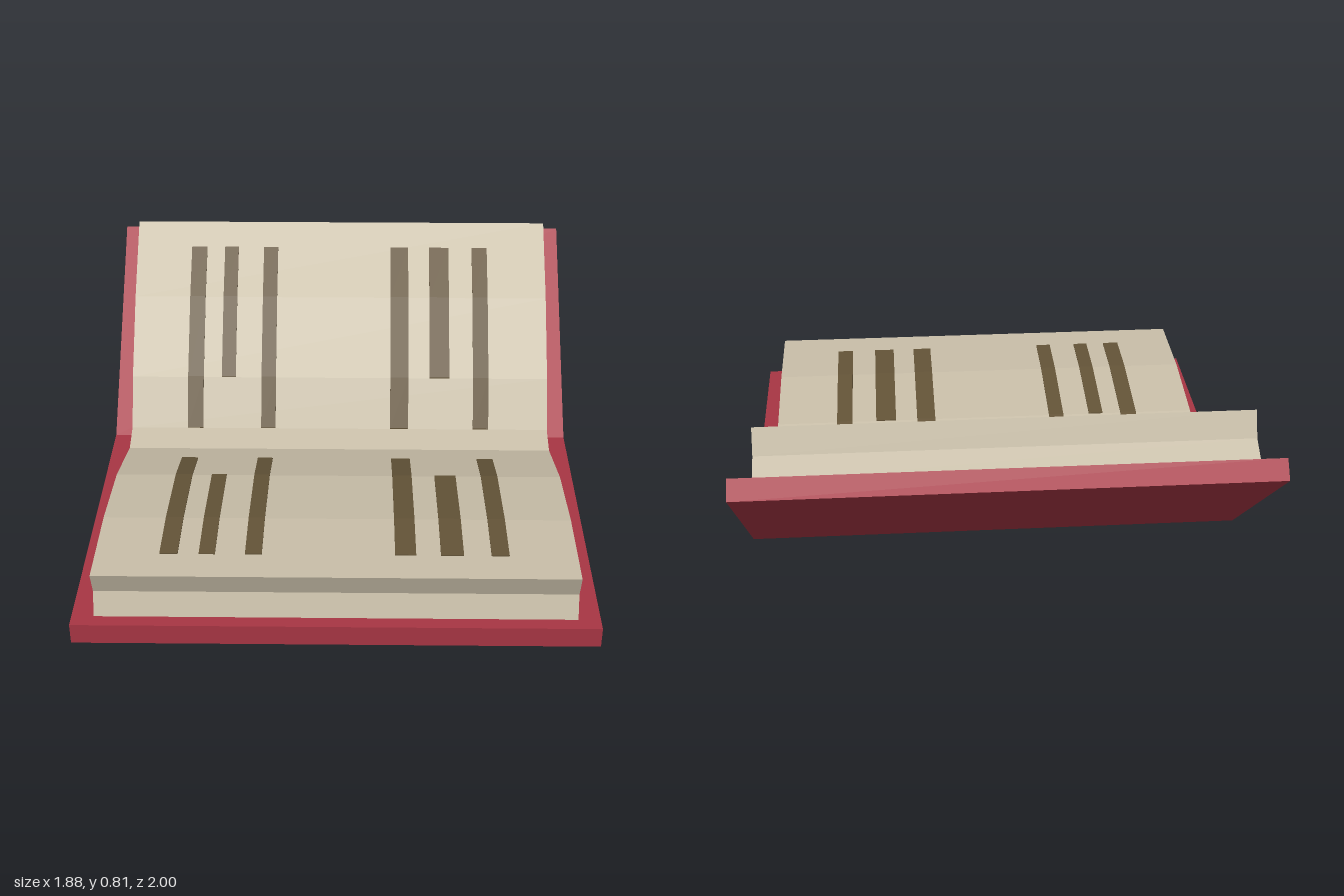
import * as THREE from 'three';

const material = (color) => new THREE.MeshStandardMaterial({ color, flatShading: true });

// Extrude a side profile of [z, y] points across x, between x0 and x1
function profileMesh(name, points, x0, x1, mat) {
  const shape = new THREE.Shape(points.map(([z, y]) => new THREE.Vector2(z, y)));
  const geometry = new THREE.ExtrudeGeometry(shape, { depth: x1 - x0, bevelEnabled: false });
  geometry.rotateY(-Math.PI / 2).translate(x1, 0, 0);
  const mesh = new THREE.Mesh(geometry, mat);
  mesh.name = name;
  return mesh;
}

// Part of a page curve between two z values (curve runs from high z to low z)
function sliceCurve(curve, zStart, zEnd) {
  const heightAt = (z) => {
    for (let i = 0; i < curve.length - 1; i++) {
      const [za, ya] = curve[i], [zb, yb] = curve[i + 1];
      if (z <= za && z >= zb) return ya + (yb - ya) * (za - z) / (za - zb);
    }
    return curve[0][1];
  };
  const inner = curve.filter(([z]) => z < zStart && z > zEnd);
  return [[zStart, heightAt(zStart)], ...inner, [zEnd, heightAt(zEnd)]];
}

export function createModel() {
  const book = new THREE.Group();
  book.name = 'openBook';
  const coverMat = material(0xa83644);
  const pageMat = material(0xc9bfa9);
  const inkMat = material(0x645438);

  // Bent cover: flat front half, raised back half
  const cover = [[1, 0], [1, 0.08], [-0.24, 0.08], [-0.95, 0.71], [-1, 0.65], [-0.29, 0.025], [-0.08, 0]];
  book.add(profileMesh('cover', cover, -0.94, 0.94, coverMat));

  // Page block with notched outer edges and a gutter
  const lowerPage = [[0.95, 0.26], [0.6, 0.26], [0.26, 0.22], [-0.08, 0.12]];
  const upperPage = [[-0.19, 0.15], [-0.3, 0.33], [-0.53, 0.585], [-0.79, 0.81]];
  const pages = [
    [0.95, 0.08], [0.92, 0.17], ...lowerPage, ...upperPage,
    [-0.83, 0.72], [-0.92, 0.67], [-0.24, 0.075],
  ];
  book.add(profileMesh('pages', pages, -0.86, 0.86, pageMat));

  // Ink stripes that follow the page curves: [x0, x1, short]
  const stripes = [
    [-0.63, -0.565, false], [-0.49, -0.432, true], [-0.325, -0.265, false],
    [0.21, 0.285, false], [0.373, 0.455, true], [0.553, 0.617, false],
  ];
  const lift = 0.004, sink = 0.008;
  for (const [x0, x1, short] of stripes) {
    const runs = [
      ['lowerStripe', sliceCurve(lowerPage, 0.82, short ? 0.26 : 0.05)],
      ['upperStripe', sliceCurve(upperPage, short ? -0.3 : -0.19, -0.7)],
    ];
    for (const [name, run] of runs) {
      const top = run.map(([z, y]) => [z, y + lift]);
      const bottom = run.map(([z, y]) => [z, y - sink]).reverse();
      book.add(profileMesh(name, [...top, ...bottom], x0, x1, inkMat));
    }
  }
  return book;
}
